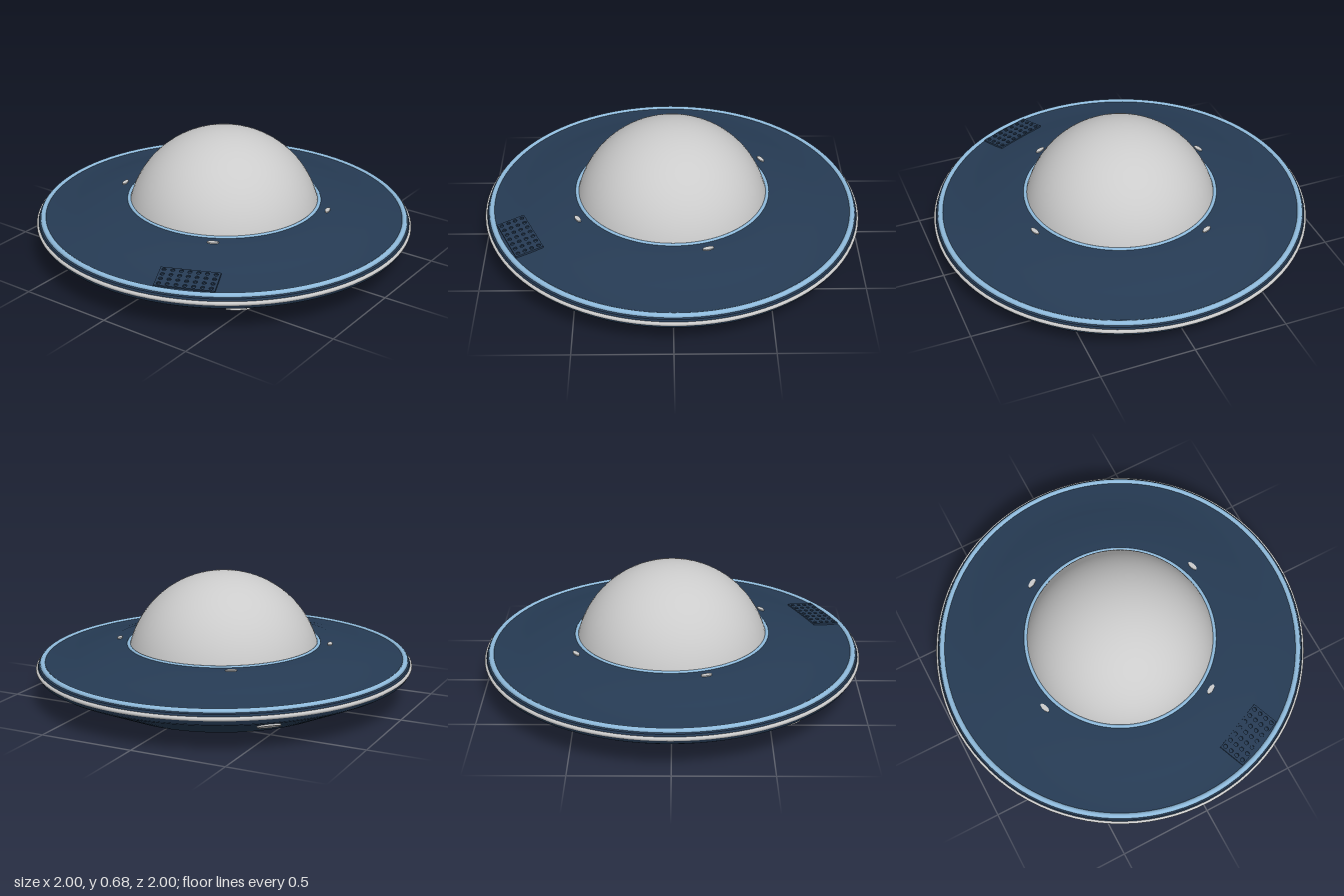
import * as THREE from 'three';
import { toCreasedNormals } from 'three/addons/utils/BufferGeometryUtils.js';

const grey = new THREE.MeshStandardMaterial({ color: 0xcccccc, side: THREE.DoubleSide });
const navy = new THREE.MeshStandardMaterial({ color: 0x263b54, side: THREE.DoubleSide });
const blue = new THREE.MeshStandardMaterial({ color: 0x8fbbdd });

const rad = THREE.MathUtils.degToRad;

function add(parent, name, geometry, material) {
  const mesh = new THREE.Mesh(geometry, material);
  mesh.name = name;
  parent.add(mesh);
  return mesh;
}

// Surface of revolution with crisp edges between profile segments
function lathe(profile, segments = 96) {
  const points = profile.map(([r, y]) => new THREE.Vector2(r, y));
  return toCreasedNormals(new THREE.LatheGeometry(points, segments), rad(20));
}

// Horizontal ring around the hull
function ring(parent, name, radius, tube, y, material) {
  const mesh = add(parent, name, new THREE.TorusGeometry(radius, tube, 10, 96), material);
  mesh.rotation.x = Math.PI / 2;
  mesh.position.y = y;
}

// Disc lamp at an angle (0 = +x, 90 = +z), facing along (outward, up)
function lamp(parent, name, angle, r, y, outward, up, size, squash = 1) {
  const pivot = new THREE.Group();
  pivot.name = name;
  pivot.rotation.y = -rad(angle);
  const disc = add(pivot, name + 'Disc', new THREE.CylinderGeometry(size, size, 0.014, 12), grey);
  disc.scale.x = squash;
  disc.position.set(r, y, 0);
  disc.rotation.z = Math.atan2(-outward, up);
  parent.add(pivot);
}

export function createModel() {
  const model = new THREE.Group();
  model.name = 'flyingSaucer';
  const craft = new THREE.Group();
  craft.name = 'craft';
  craft.rotation.set(-0.006, 0, -0.006); // slight lean
  model.add(craft);

  // Hull: bore, hanging hub, recessed underside, rim and sloped upper deck
  add(craft, 'hull', lathe([
    [0.2, 0.26], [0.22, 0.085], [0.235, 0.085], [0.35, 0.265],
    [0.58, 0.265], [0.635, 0.01], [0.65, 0.01],
    [0.96, 0.15], [0.985, 0.165], [0.995, 0.185], [0.985, 0.215], [0.97, 0.225],
    [0.94, 0.228], [0.86, 0.238], [0.78, 0.253], [0.61, 0.3], [0.48, 0.303],
  ]), navy);

  // Dome: spherical cap
  const domeRadius = 0.519, domeCentre = 0.161;
  const dome = add(craft, 'dome', new THREE.SphereGeometry(
    domeRadius, 64, 24, 0, Math.PI * 2, 0, Math.acos((0.295 - domeCentre) / domeRadius)), grey);
  dome.position.y = domeCentre;

  // Plate closing the bore
  const plate = add(craft, 'borePlate', new THREE.CircleGeometry(0.205, 32), grey);
  plate.rotation.x = Math.PI / 2;
  plate.position.y = 0.24;

  // Trim rings
  ring(craft, 'domeTrim', 0.507, 0.01, 0.3, blue);
  ring(craft, 'deckTrim', 0.963, 0.015, 0.221, blue);
  ring(craft, 'rimBand', 0.989, 0.011, 0.193, grey);

  // Lamps on the lower slope and on the recess wall
  for (let i = 0; i < 4; i++) {
    const angle = 50 + i * 90;
    lamp(craft, 'lowerLamp', angle, 0.9, 0.121, 0.41, -0.91, 0.06);
    lamp(craft, 'recessLamp', angle, 0.612, 0.115, -0.97, -0.21, 0.035, 2);
  }
  // Small lamps on the deck around the dome
  for (const angle of [-18, 60, 162, 240]) {
    lamp(craft, 'deckLamp', angle, 0.567, 0.3, 0.03, 1, 0.03, 0.42);
  }

  // Vent grille: perforated panel lying on the deck slope
  const length = 0.3, width = 0.15, columns = 7, rows = 4;
  const panel = new THREE.Shape([
    new THREE.Vector2(-width / 2, -length / 2), new THREE.Vector2(width / 2, -length / 2),
    new THREE.Vector2(width / 2, length / 2), new THREE.Vector2(-width / 2, length / 2),
  ]);
  for (let i = 0; i < rows; i++) {
    for (let j = 0; j < columns; j++) {
      const hole = new THREE.Path();
      hole.absarc((i + 0.5) / rows * width - width / 2,
        (j + 0.5) / columns * length - length / 2, 0.011, 0, Math.PI * 2, true);
      panel.holes.push(hole);
    }
  }
  const grilleGeometry = new THREE.ExtrudeGeometry(panel, { depth: 0.012, bevelEnabled: false, curveSegments: 4 });
  grilleGeometry.rotateX(-Math.PI / 2);
  const grillePivot = new THREE.Group();
  grillePivot.name = 'ventGrille';
  grillePivot.rotation.y = -rad(66);
  const grille = add(grillePivot, 'grillePanel', grilleGeometry, navy);
  grille.position.set(0.86, 0.235, 0);
  grille.rotation.z = -0.15;
  craft.add(grillePivot);

  return model;
}
